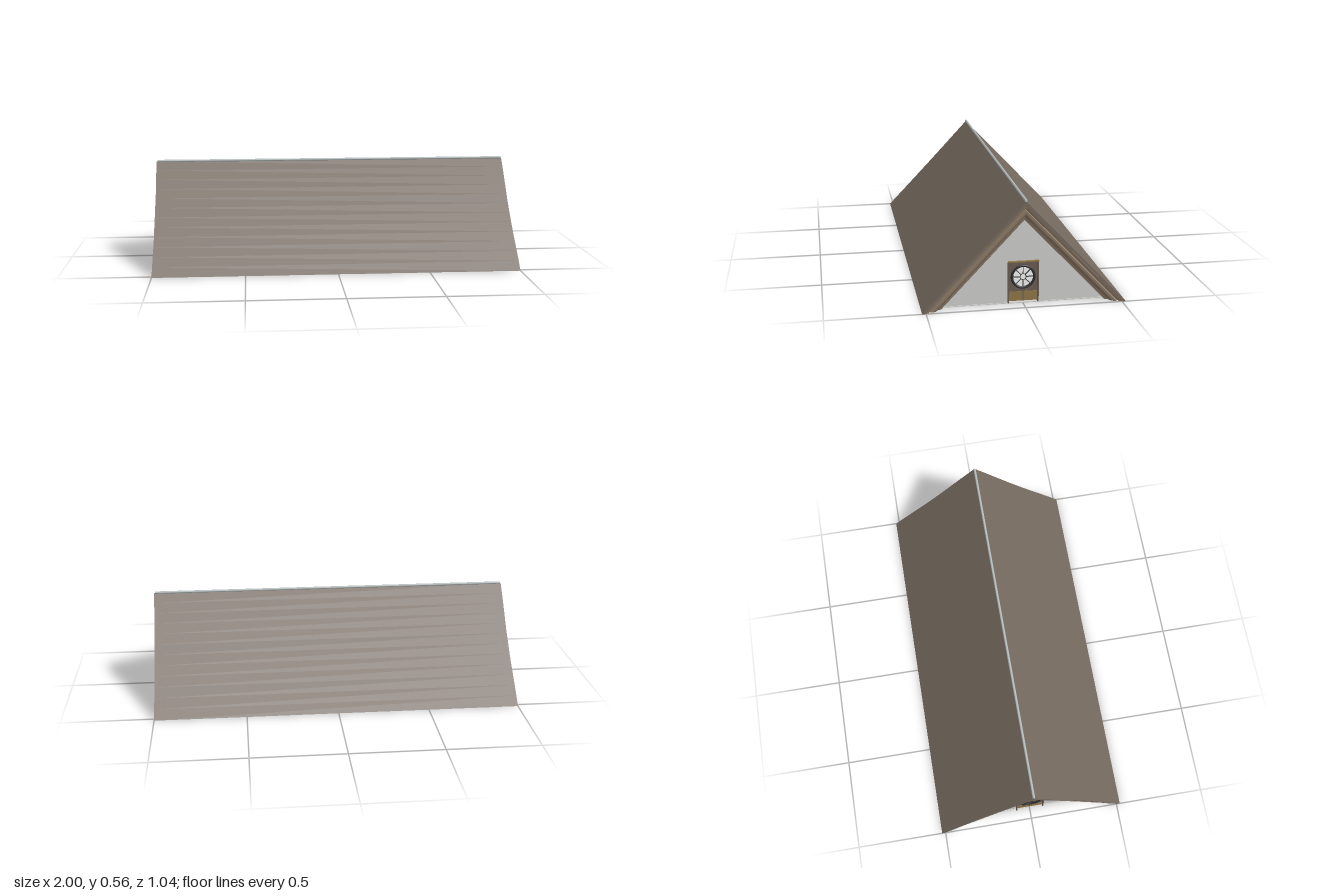
import * as THREE from 'three';

const H = 0.55, W = 0.52, K = W / H; // ridge height, half width, slope

const mat = (name, color, side = THREE.FrontSide) => {
  const m = new THREE.MeshStandardMaterial({ color, side });
  m.name = name;
  return m;
};

function add(parent, name, geometry, material, x = 0, y = 0, z = 0) {
  const mesh = new THREE.Mesh(geometry, material);
  mesh.name = name;
  mesh.position.set(x, y, z);
  parent.add(mesh);
  return mesh;
}

// Sweep a profile of (x, drop below the roof plane) from the eave up to the ridge.
function rakeSweep(profile, steps) {
  const shape = new THREE.Shape(profile.map(([x, d]) => new THREE.Vector2(x, d)));
  const g = new THREE.ExtrudeGeometry(shape, { depth: 1, steps, bevelEnabled: false });
  const p = g.attributes.position;
  for (let i = 0; i < p.count; i++) {
    const x = p.getX(i), d = p.getY(i), t = p.getZ(i);
    const bow = 1 - 0.006 * Math.sin(Math.PI * t) ** 2;
    p.setXYZ(i, x * bow, t * (H - d), (1 - t) * (W - d * K));
  }
  g.computeVertexNormals();
  return g;
}

export function createModel() {
  const roofBrown = mat('roof brown', 0x75695f);
  const trimTan = mat('trim tan', 0x8d7b67);
  const plaster = mat('plaster white', 0xcfcfcd);
  const ridgeGrey = mat('ridge grey', 0xb4bbbc);
  const panelBrown = mat('panel brown', 0x6b5d52);
  const gold = mat('aged gold', 0x8f7748);
  const iron = mat('dark iron', 0x2b2e30);

  const model = new THREE.Group();
  model.name = 'gableRoof';

  // Roof slopes, front and back
  const slope = rakeSweep([[-1, 0], [1, 0], [1, 0.018], [-1, 0.018]], 12);
  add(model, 'frontSlope', slope, roofBrown);
  add(model, 'backSlope', slope, roofBrown).scale.z = -1;

  // Ridge cap
  const cap = new THREE.CylinderGeometry(0.007, 0.007, 1.99, 10).rotateZ(Math.PI / 2);
  add(model, 'ridgeCap', cap, ridgeGrey, 0, 0.553, 0);

  // Ceiling slab that closes the underside
  add(model, 'floor', new THREE.BoxGeometry(1.87, 0.004, 1.0), plaster, 0, 0.004, 0);

  // Stepped rake moulding at all four sloping edges
  const rake = rakeSweep([
    [0.92, 0.017], [0.998, 0.017], [0.994, 0.034], [0.976, 0.041], [0.986, 0.05],
    [0.984, 0.066], [0.974, 0.078], [0.958, 0.088], [0.954, 0.105], [0.92, 0.105],
  ], 1);
  for (const sx of [1, -1]) for (const sz of [1, -1]) {
    add(model, 'rakeMoulding', rake, trimTan).scale.set(sx, 1, sz);
  }

  // Gable wall with a door-shaped notch
  const top = H - 0.02;
  const wallShape = new THREE.Shape([
    [-top * K, 0], [-0.077, 0], [-0.077, 0.222], [0.077, 0.222],
    [0.077, 0], [top * K, 0], [0, top],
  ].map(([x, y]) => new THREE.Vector2(x, y)));
  const wallGeo = new THREE.ExtrudeGeometry(wallShape, { depth: 0.02, bevelEnabled: false });

  // Panel with a round opening
  const panelShape = new THREE.Shape([
    [-0.076, 0.062], [0.076, 0.062], [0.076, 0.222], [-0.076, 0.222],
  ].map(([x, y]) => new THREE.Vector2(x, y)));
  const hole = new THREE.Path();
  hole.absarc(0, 0.14, 0.055, 0, Math.PI * 2, true);
  panelShape.holes.push(hole);
  const panelGeo = new THREE.ExtrudeGeometry(panelShape, { depth: 0.012, bevelEnabled: false, curveSegments: 24 });

  // Each gable is built facing +z and then turned to its end
  for (const side of [1, -1]) {
    const gable = new THREE.Group();
    gable.name = side > 0 ? 'leftGable' : 'rightGable';
    gable.rotation.y = side * Math.PI / 2;
    model.add(gable);
    add(gable, 'gableWall', wallGeo, plaster, 0, 0, 0.91);
    add(gable, 'windowPanel', panelGeo, panelBrown, 0, 0, 0.917);

    // Surround and lower panels
    for (const s of [1, -1]) {
      add(gable, 'surroundSide', new THREE.BoxGeometry(0.006, 0.218, 0.035), panelBrown, s * 0.076, 0.115, 0.925);
      add(gable, 'lowerPanel', new THREE.BoxGeometry(0.071, 0.05, 0.014), gold, s * 0.037, 0.038, 0.925);
    }
    add(gable, 'surroundTop', new THREE.BoxGeometry(0.158, 0.006, 0.037), gold, 0, 0.223, 0.925);
    add(gable, 'lowerMullion', new THREE.BoxGeometry(0.005, 0.05, 0.018), panelBrown, 0, 0.038, 0.925);

    // Round window with hub and eight spokes
    const win = new THREE.Group();
    win.name = 'roundWindow';
    win.position.set(0, 0.14, 0.93);
    gable.add(win);
    add(win, 'windowRing', new THREE.TorusGeometry(0.0575, 0.0065, 8, 36), iron);
    add(win, 'windowHub', new THREE.TorusGeometry(0.0155, 0.0018, 6, 24), iron);
    for (let i = 0; i < 8; i++) {
      const a = i * Math.PI / 4;
      const spoke = add(win, 'windowSpoke', new THREE.BoxGeometry(0.037, 0.003, 0.006), iron,
        Math.cos(a) * 0.0345, Math.sin(a) * 0.0345, 0);
      spoke.rotation.z = a;
    }
  }

  // Small hatch set into the underside
  const hatch = new THREE.Group();
  hatch.name = 'floorHatch';
  hatch.position.set(-0.015, 0, 0.1);
  model.add(hatch);
  add(hatch, 'hatchPlate', new THREE.BoxGeometry(0.15, 0.004, 0.135), iron, 0, 0.003, 0);
  add(hatch, 'hatchGoldPanel', new THREE.BoxGeometry(0.13, 0.003, 0.04), gold, 0, 0.002, 0.01);
  add(hatch, 'hatchEdge', new THREE.BoxGeometry(0.13, 0.003, 0.012), gold, 0, 0.002, 0.055);
  for (let i = -1; i <= 1; i++) {
    add(hatch, 'hatchPane', new THREE.BoxGeometry(0.026, 0.003, 0.022), plaster, i * 0.034, 0.002, -0.036);
  }
  return model;
}
